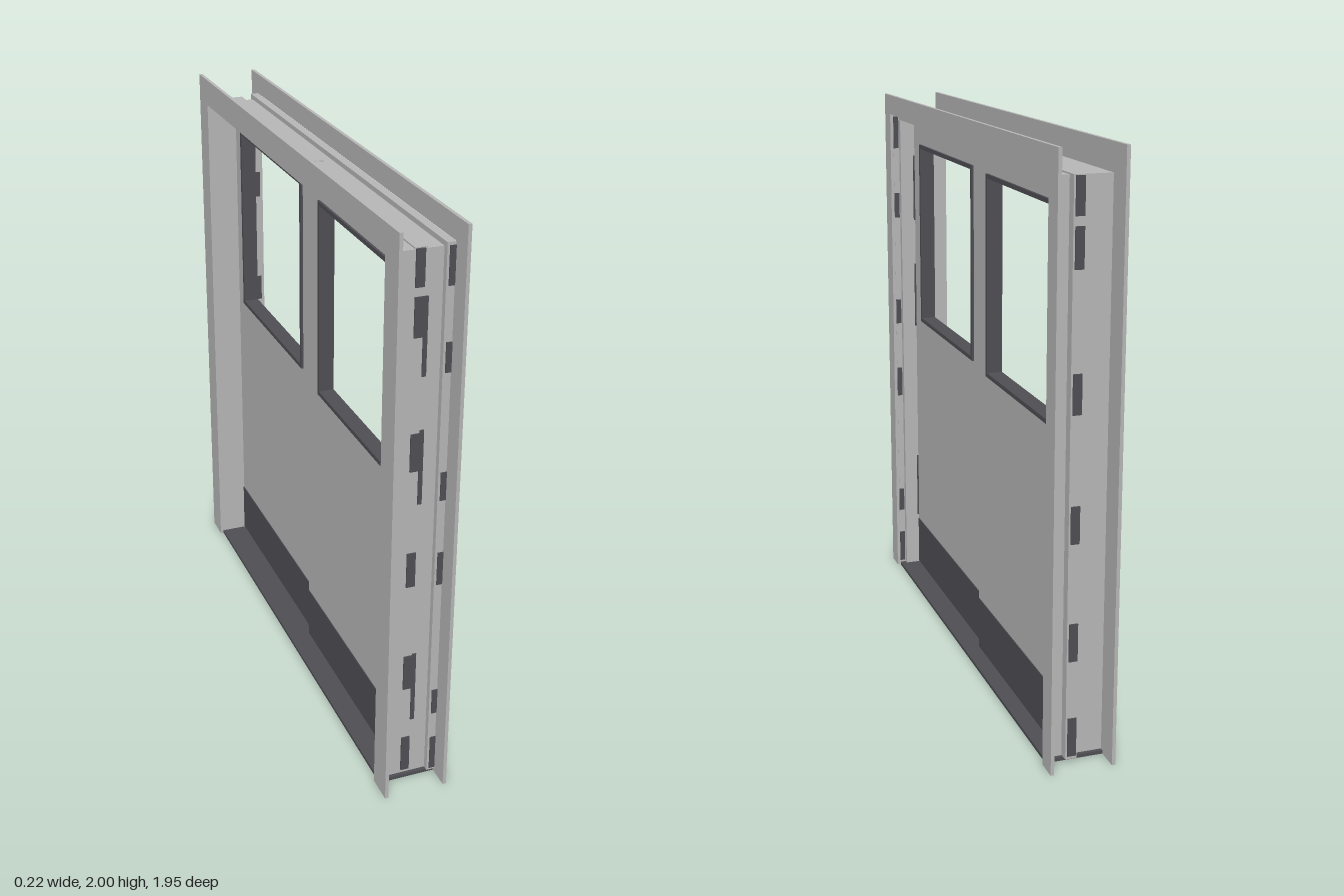
import * as THREE from 'three';

const steel = new THREE.MeshStandardMaterial({ color: 0xb6b6b6 });
steel.name = 'grey steel';
const dark = new THREE.MeshStandardMaterial({ color: 0x4f4e53 });
dark.name = 'dark metal';

export function createModel() {
  const model = new THREE.Group();
  model.name = 'doubleDoor';

  // Box given by its limits on each axis
  function box(name, mat, x0, x1, y0, y1, z0, z1, parent = model) {
    const mesh = new THREE.Mesh(new THREE.BoxGeometry(x1 - x0, y1 - y0, z1 - z0), mat);
    mesh.position.set((x0 + x1) / 2, (y0 + y1) / 2, (z0 + z1) / 2);
    mesh.name = name;
    parent.add(mesh);
  }

  // Closed outline of (z, y) points
  const rect = (z0, z1, y0, y1) => [[z0, y0], [z1, y0], [z1, y1], [z0, y1]];
  const points = (list) => list.map(([z, y]) => new THREE.Vector2(z, y));

  // Panel in the z-y plane, extruded between x0 and x1
  function panel(name, mat, x0, x1, outline, hole, parent = model) {
    const shape = new THREE.Shape(points(outline));
    if (hole) shape.holes.push(new THREE.Path(points(hole)));
    const geo = new THREE.ExtrudeGeometry(shape, { depth: x1 - x0, bevelEnabled: false });
    geo.rotateY(-Math.PI / 2).translate(x1, 0, 0);
    const mesh = new THREE.Mesh(geo, mat);
    mesh.name = name;
    parent.add(mesh);
  }

  // Upside-down U outline: outer half width and top, inner half width and top
  const arch = (zo, yo, zi, yi, y0) => [
    [-zo, y0], [-zi, y0], [-zi, yi], [zi, yi], [zi, y0], [zo, y0], [zo, yo], [-zo, yo],
  ];

  // Door frame: two wide flanges, the deep lining and the stepped rebate
  panel('frontFlange', steel, 0.1, 0.112, arch(0.975, 2, 0.898, 1.926, 0));
  panel('backFlange', steel, -0.112, -0.1, arch(0.975, 2, 0.877, 1.903, 0));
  panel('frameLining', steel, -0.1, 0.077, arch(0.882, 1.908, 0.877, 1.903, 0.012));
  panel('frameRebate', steel, 0.072, 0.1, arch(0.902, 1.925, 0.897, 1.92, 0.012));
  panel('rebateStep', steel, 0.072, 0.077, arch(0.9, 1.922, 0.877, 1.903, 0.012));
  box('threshold', dark, -0.1, 0.1, 0, 0.012, -0.895, 0.895);

  // Door leaf with a window opening, trim and kick plates on both faces
  function leaf(name, x0, z0, z1, wz0, wz1) {
    const door = new THREE.Group();
    door.name = name;
    model.add(door);
    const x1 = x0 + 0.04, wy0 = 1.1, wy1 = 1.815, t = 0.015;
    panel('doorPanel', steel, x0, x1, rect(z0, z1, 0.014, 1.913),
      rect(wz0 + 0.005, wz1 - 0.005, wy0 + 0.005, wy1 - 0.005), door);
    panel('windowTrim', dark, x0 - 0.008, x1 + 0.008, rect(wz0, wz1, wy0, wy1),
      rect(wz0 + t, wz1 - t, wy0 + t, wy1 - t), door);
    const k0 = Math.max(z0 + 0.006, -0.877), k1 = Math.min(z1 - 0.006, 0.877);
    box('frontKickPlate', dark, x1, x1 + 0.003, 0.016, 0.212, k0, k1, door);
    box('backKickPlate', dark, x0 - 0.003, x0, 0.016, 0.212, k0, k1, door);
  }
  leaf('leftLeaf', -0.02, -0.012, 0.88, 0.1, 0.78);
  leaf('rightLeaf', 0, -0.917, -0.016, -0.802, -0.12);

  // Rebate plates on both jambs
  for (const [y0, y1] of [[0.02, 0.15], [0.25, 0.345], [0.76, 0.88],
    [1.07, 1.17], [1.51, 1.61], [1.79, 1.915]]) {
    for (const s of [-1, 1]) {
      const a = s * 0.894, b = s * 0.905;
      box('rebatePlate', dark, 0.08, 0.1, y0, y1, Math.min(a, b), Math.max(a, b));
    }
  }

  // Hinge leaves on the outer edge of each door
  for (const [y0, y1] of [[0.025, 0.16], [0.36, 0.49], [0.76, 0.885],
    [1.18, 1.31], [1.63, 1.76], [1.79, 1.91]]) {
    box('leftHinge', dark, -0.018, 0.012, y0, y1, 0.876, 0.887);
    box('rightHinge', dark, 0.004, 0.034, y0, y1, -0.921, -0.912);
  }
  // Long hinge pins beside the left leaf
  for (const [y0, y1] of [[0.23, 0.495], [1.06, 1.32], [1.5, 1.76]]) {
    box('hingePin', dark, 0.012, 0.026, y0, y1, 0.874, 0.886);
  }

  // Small catches where the leaves meet
  box('latch', dark, -0.016, -0.002, 0.81, 0.835, -0.017, -0.01);
  box('floorBolt', dark, 0.022, 0.038, 0.09, 0.11, -0.018, -0.011);

  return model;
}
